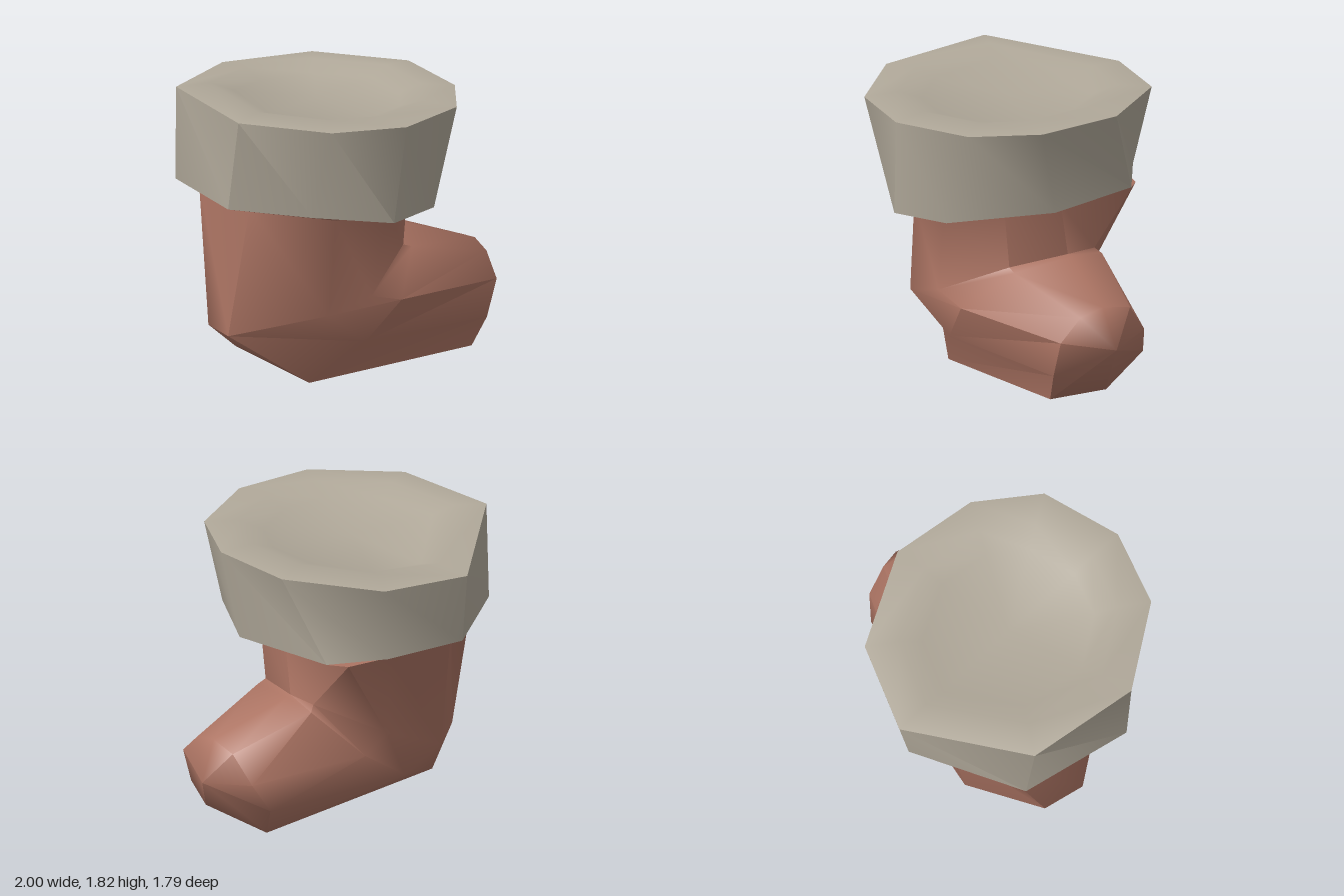
import * as THREE from 'three';
import { toCreasedNormals } from 'three/addons/utils/BufferGeometryUtils.js';

const V = (x, y, z) => new THREE.Vector3(x, y, z);

// Skin a list of equal-length rings, dropping collapsed triangles at the caps
function loft(rings, crease) {
  const pos = [];
  const tri = (a, b, c) => {
    const n = b.clone().sub(a).cross(c.clone().sub(a));
    if (n.lengthSq() > 1e-12) for (const p of [a, b, c]) pos.push(p.x, p.y, p.z);
  };
  for (let r = 0; r < rings.length - 1; r++) {
    const A = rings[r], B = rings[r + 1], n = A.length;
    for (let i = 0; i < n; i++) {
      const j = (i + 1) % n;
      tri(A[i], A[j], B[i]);
      tri(A[j], B[j], B[i]);
    }
  }
  const g = new THREE.BufferGeometry();
  g.setAttribute('position', new THREE.Float32BufferAttribute(pos, 3));
  return toCreasedNormals(g, crease);
}

const ring = (points) => points.map((p) => V(...p));
const point = (x, y, z) => RIM.map(() => V(x, y, z));

// All rings have nine points, from the toe side round the front, heel and back

// Uneven cuff rim and hem
const RIM = ring([
  [0.62, 1.74, 0.24], [0.43, 1.74, 0.65], [-0.03, 1.74, 0.89],
  [-0.51, 1.75, 0.83], [-0.94, 1.76, 0.42], [-1.00, 1.80, -0.31],
  [-0.39, 1.71, -0.90], [0.17, 1.73, -0.80], [0.58, 1.75, -0.31],
]);
const HEM = ring([
  [0.57, 1.20, 0.12], [0.25, 1.14, 0.70], [-0.10, 1.13, 0.86],
  [-0.54, 1.16, 0.63], [-0.98, 1.20, 0.36], [-0.98, 1.20, -0.36],
  [-0.40, 1.25, -0.84], [0.08, 1.22, -0.72], [0.40, 1.20, -0.52],
]);

// Boot sections fanning round the ankle
const LEG_TOP = ring([
  [0.35, 1.16, -0.05], [0.27, 1.14, 0.30], [0.00, 1.10, 0.57],
  [-0.35, 1.10, 0.57], [-0.79, 1.15, 0.27], [-0.80, 1.15, -0.40],
  [-0.50, 1.19, -0.60], [0.00, 1.19, -0.66], [0.30, 1.19, -0.61],
]);
const HEEL = ring([
  [0.35, 0.83, -0.10], [0.26, 0.78, 0.26], [-0.10, 0.58, 0.55],
  [-0.40, 0.50, 0.57], [-0.86, 0.31, 0.12], [-0.86, 0.31, -0.15],
  [-0.50, 0.40, -0.50], [-0.05, 0.62, -0.54], [0.33, 0.83, -0.30],
]);
const SOLE = ring([
  [0.38, 0.82, -0.10], [0.32, 0.76, 0.26], [0.12, 0.52, 0.52],
  [-0.10, 0.27, 0.47], [-0.40, 0.00, 0.30], [-0.62, 0.11, -0.26],
  [-0.25, 0.25, -0.46], [0.10, 0.50, -0.52], [0.37, 0.80, -0.33],
]);
const TOE = ring([
  [0.89, 0.66, -0.03], [0.89, 0.62, 0.13], [0.89, 0.48, 0.27],
  [0.82, 0.25, 0.28], [0.73, 0.07, 0.25], [0.62, 0.02, -0.21],
  [0.74, 0.27, -0.40], [0.84, 0.45, -0.35], [0.89, 0.63, -0.22],
]);

// Rim shrunk about the leg axis and shifted in height
const CX = -0.2;
const shrunkRim = (s, dy) =>
  RIM.map((p) => V(CX + (p.x - CX) * s, p.y + dy, p.z * s));

export function createModel() {
  const red = new THREE.MeshStandardMaterial({ color: 0xac7463 });
  red.name = 'dusty red';
  const fur = new THREE.MeshStandardMaterial({ color: 0xb1a99a });
  fur.name = 'warm grey';

  const group = new THREE.Group();
  group.name = 'stockingBoot';
  const add = (name, geometry, material) => {
    const mesh = new THREE.Mesh(geometry, material);
    mesh.name = name;
    group.add(mesh);
  };

  // Underside flare, leg, heel and toe in one bent skin
  add('boot', loft([HEM, LEG_TOP, HEEL, SOLE, TOE, point(1.0, 0.41, -0.06)], 1.0), red);

  // Thick cuff: dished top, raised inner lip, rim and sloping sides
  add('cuff', loft([
    point(CX, 1.71, 0),
    shrunkRim(0.6, -0.03),
    shrunkRim(0.76, 0.02),
    RIM,
    HEM,
  ], 0.85), fur);

  return group;
}
